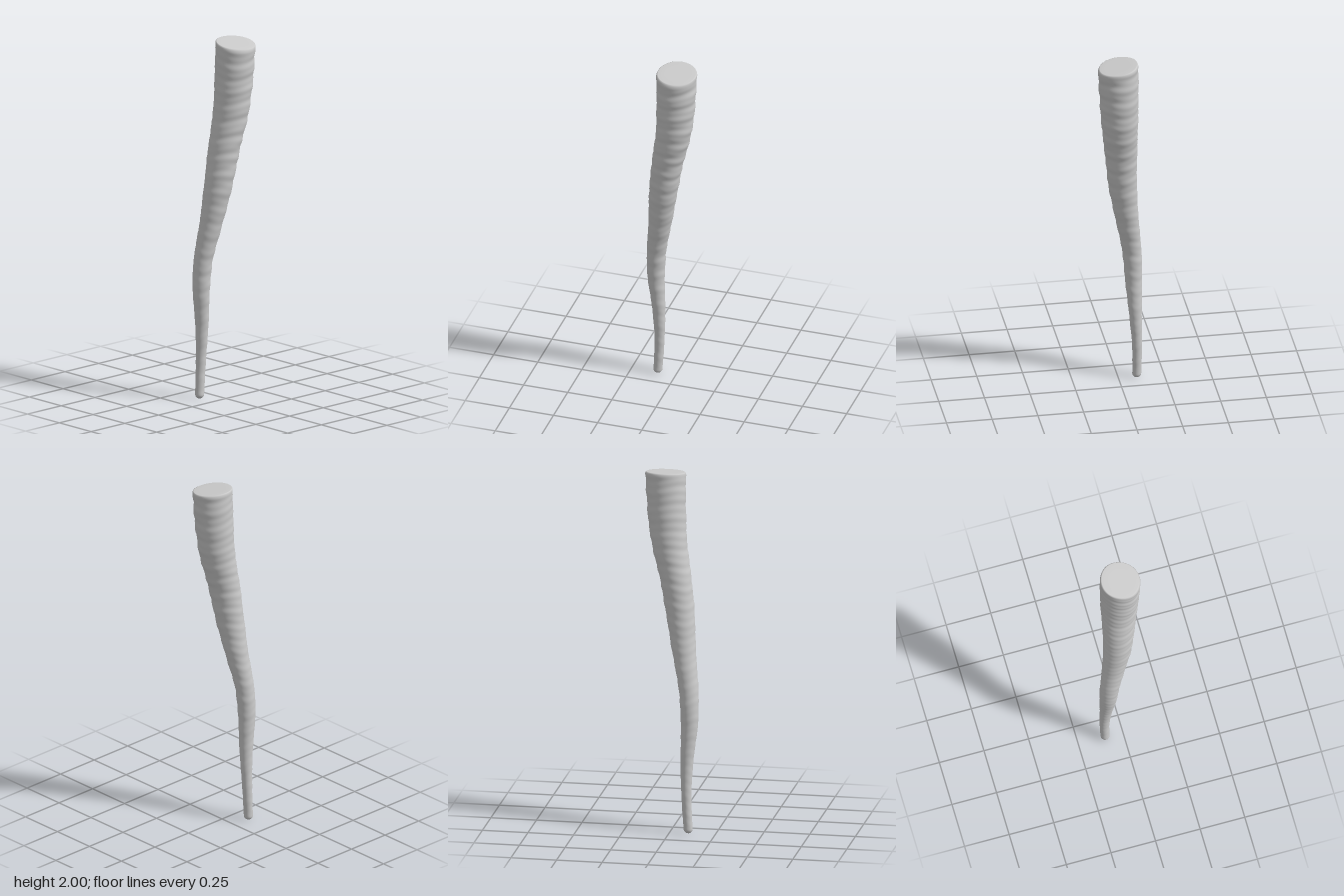
import * as THREE from 'three';
import { mergeVertices } from 'three/addons/utils/BufferGeometryUtils.js';

// Spine stations: height, centre x, centre z, radius
const STATIONS = [
  [0.00, -0.102, -0.100, 0.024], [0.20, -0.092, -0.100, 0.027], [0.40, -0.093, -0.091, 0.035],
  [0.60, -0.105, -0.083, 0.046], [0.70, -0.104, -0.079, 0.050], [0.80, -0.098, -0.070, 0.053],
  [1.00, -0.068, -0.040, 0.064], [1.20, -0.043, -0.014, 0.077], [1.40, -0.014, 0.000, 0.086],
  [1.60, 0.024, 0.013, 0.097], [1.80, 0.040, 0.021, 0.105], [2.00, 0.046, 0.027, 0.109],
];

// Smooth (Catmull-Rom) lookup of one station column at height y
function along(y, column) {
  const last = STATIONS.length - 1;
  let i = 0;
  while (i < last - 1 && STATIONS[i + 1][0] < y) i++;
  const at = (k) => STATIONS[Math.min(Math.max(k, 0), last)];
  const slope = (k) => (at(k + 1)[column] - at(k - 1)[column]) / (at(k + 1)[0] - at(k - 1)[0]);
  const [a, b] = [at(i), at(i + 1)];
  const h = b[0] - a[0];
  const t = THREE.MathUtils.clamp((y - a[0]) / h, 0, 1);
  const t2 = t * t, t3 = t2 * t;
  return (2 * t3 - 3 * t2 + 1) * a[column] + (t3 - 2 * t2 + t) * h * slope(i)
    + (3 * t2 - 2 * t3) * b[column] + (t3 - t2) * h * slope(i + 1);
}

// Uneven growth rings and soft lumps, as a factor on the radius
function ripple(y, angle) {
  const ring = Math.sin(y * 62 + 1.3 * Math.sin(y * 9) + 0.7 * Math.sin(angle + y * 3));
  const fine = Math.sin(y * 131 + 1.5 * Math.sin(angle * 2 + y * 5));
  const lump = Math.sin(angle * 3 + y * 11) * Math.sin(y * 17 + angle);
  const side = 0.65 + 0.35 * Math.sin(angle + 0.6);
  return 1 + 0.022 * ring * side + 0.008 * fine + 0.012 * lump;
}

function hornGeometry() {
  const top = 1.986, tip = 0.024;
  // Profile: rounded tip, tapering shaft, softened rim, flat cap
  const profile = [];
  for (let i = 0; i <= 7; i++) {
    const a = (i / 7) * Math.PI / 2;
    profile.push(new THREE.Vector2(Math.sin(a), tip * (1 - Math.cos(a))));
  }
  const rows = 240;
  for (let i = 1; i <= rows; i++) {
    profile.push(new THREE.Vector2(1, tip + (top - 0.018 - tip) * i / rows));
  }
  for (const [r, d] of [[0.988, 0.008], [0.965, 0.002], [0.93, 0], [0.6, 0], [0.3, 0], [0, 0]]) {
    profile.push(new THREE.Vector2(r, top - d));
  }
  let geometry = new THREE.LatheGeometry(profile, 56);

  // Scale each ring to its radius, shift it to the spine and slant the cut end
  const p = geometry.attributes.position;
  for (let i = 0; i < p.count; i++) {
    const x = p.getX(i), y = p.getY(i), z = p.getZ(i);
    const r = along(y, 3) * ripple(y, Math.atan2(z, x));
    const slant = 0.14 * THREE.MathUtils.smoothstep(y, 1.6, top);
    p.setXYZ(i, along(y, 1) + x * r, y - z * r * slant, along(y, 2) + z * r);
  }
  geometry.deleteAttribute('uv');
  geometry.deleteAttribute('normal');
  geometry = mergeVertices(geometry, 1e-5);
  geometry.computeVertexNormals();
  return geometry;
}

export function createModel() {
  const model = new THREE.Group();
  model.name = 'hornModel';
  const horn = new THREE.Mesh(hornGeometry(), new THREE.MeshStandardMaterial({ color: 0xcccccc }));
  horn.name = 'horn';
  model.add(horn);
  return model;
}
